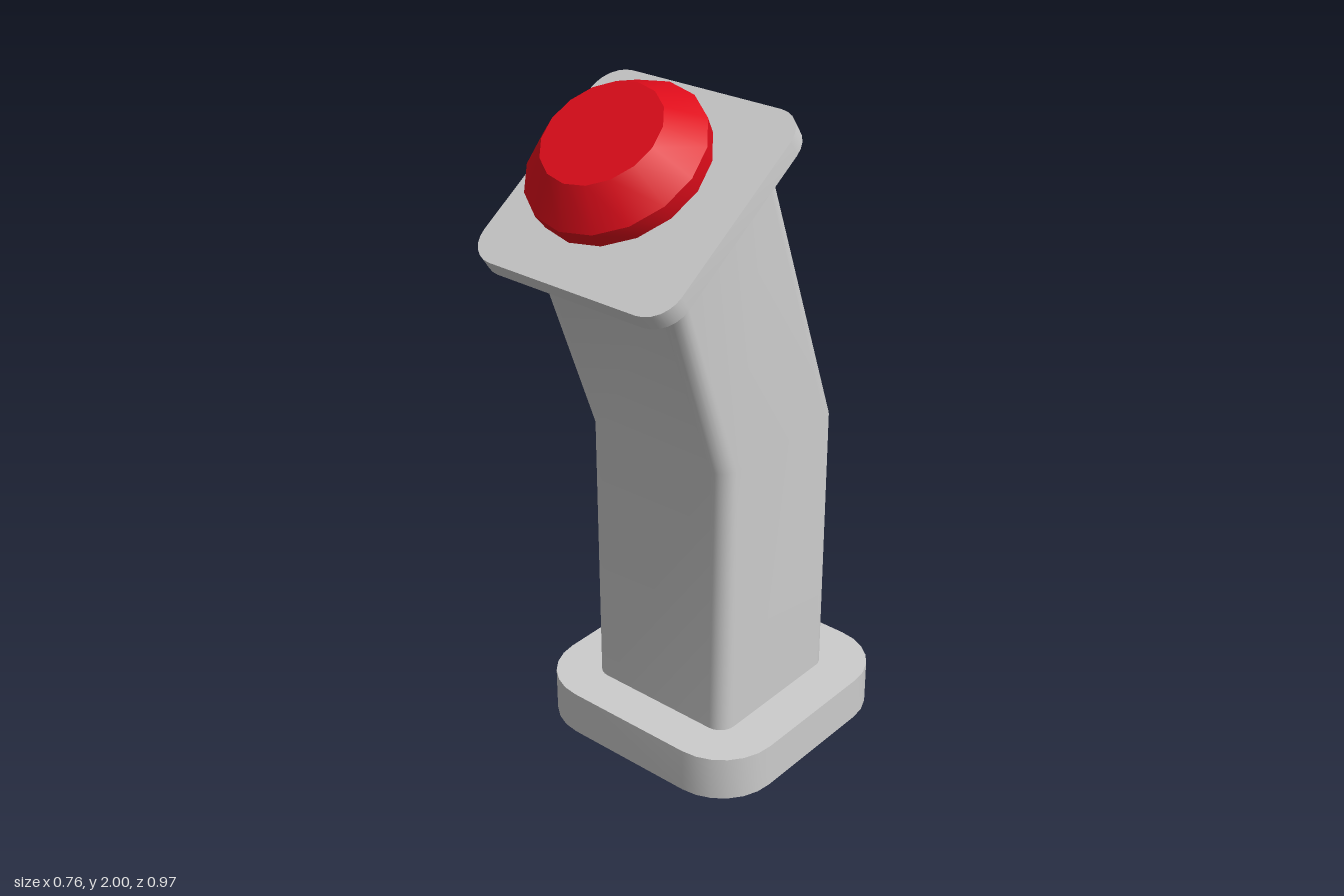
import * as THREE from 'three';
import { toCreasedNormals } from 'three/addons/utils/BufferGeometryUtils.js';

const grey = new THREE.MeshStandardMaterial({ color: 0xcccccc });
const red = new THREE.MeshStandardMaterial({ color: 0xdd0c1a });
const TILT = Math.atan2(0.36, 0.54);

function part(name, geometry, material = grey, crease = 0.6) {
  const mesh = new THREE.Mesh(toCreasedNormals(geometry, crease), material);
  mesh.name = name;
  return mesh;
}

// Square outline with rounded corners, half width h and corner radius r
function roundedSquare(h, r) {
  const s = new THREE.Shape();
  const c = h - r;
  [[c, c], [-c, c], [-c, -c], [c, -c]].forEach(([x, y], i) =>
    s.absarc(x, y, r, i * Math.PI / 2, (i + 1) * Math.PI / 2, false));
  return s;
}

// Flat slab standing on y = 0
function slab(h, r, depth) {
  const g = new THREE.ExtrudeGeometry(roundedSquare(h, r), { depth, bevelEnabled: false, curveSegments: 3 });
  return g.rotateX(-Math.PI / 2);
}

// Bent square column: each section is given by its back and front [z, y]
function columnGeometry() {
  const half = 0.245;
  const outline = roundedSquare(half, 0.05).getPoints(3);
  const sections = [
    [[-0.345, 0.1], [0.145, 0.1]],
    [[-0.345, 0.97], [0.145, 0.97]],
    [[-0.05, 1.785], [0.353, 1.54]],
    [[-0.012, 1.84], [0.392, 1.568]],
  ];
  const n = outline.length;
  const positions = [], index = [];
  sections.forEach(([back, front], k) => {
    outline.forEach((p, i) => {
      const t = (p.y + half) / (2 * half);
      positions.push(p.x, THREE.MathUtils.lerp(back[1], front[1], t), THREE.MathUtils.lerp(back[0], front[0], t));
      if (k === sections.length - 1) return;
      const a = k * n + i, b = k * n + (i + 1) % n;
      index.push(a, a + n, b, b, a + n, b + n);
    });
  });
  const g = new THREE.BufferGeometry();
  g.setAttribute('position', new THREE.Float32BufferAttribute(positions, 3));
  g.setIndex(index);
  return g;
}

function lathe(profile) {
  return new THREE.LatheGeometry(profile.map(([r, y]) => new THREE.Vector2(r, y)), 16);
}

export function createModel() {
  const model = new THREE.Group();
  model.name = 'buttonPedestal';

  const base = part('base', slab(0.38, 0.175, 0.135));
  base.position.z = -0.105;
  model.add(base, part('column', columnGeometry()));

  // Tilted head, with its origin at the centre of the plate's top
  const head = new THREE.Group();
  head.name = 'head';
  head.position.set(0, 1.74, 0.213);
  head.rotation.x = TILT;
  const plate = part('plate', slab(0.328, 0.085, 0.05));
  plate.position.y = -0.05;
  head.add(plate);

  // Stem flaring out under the cap
  head.add(part('buttonStem', lathe([[0.1, -0.01], [0.1, 0.025], [0.21, 0.069]])));

  // Faceted cap
  head.add(part('buttonCap', lathe([
    [0, 0.069], [0.238, 0.069], [0.244, 0.119], [0.163, 0.204], [0, 0.204],
  ])  , red));

  model.add(head);
  return model;
}
